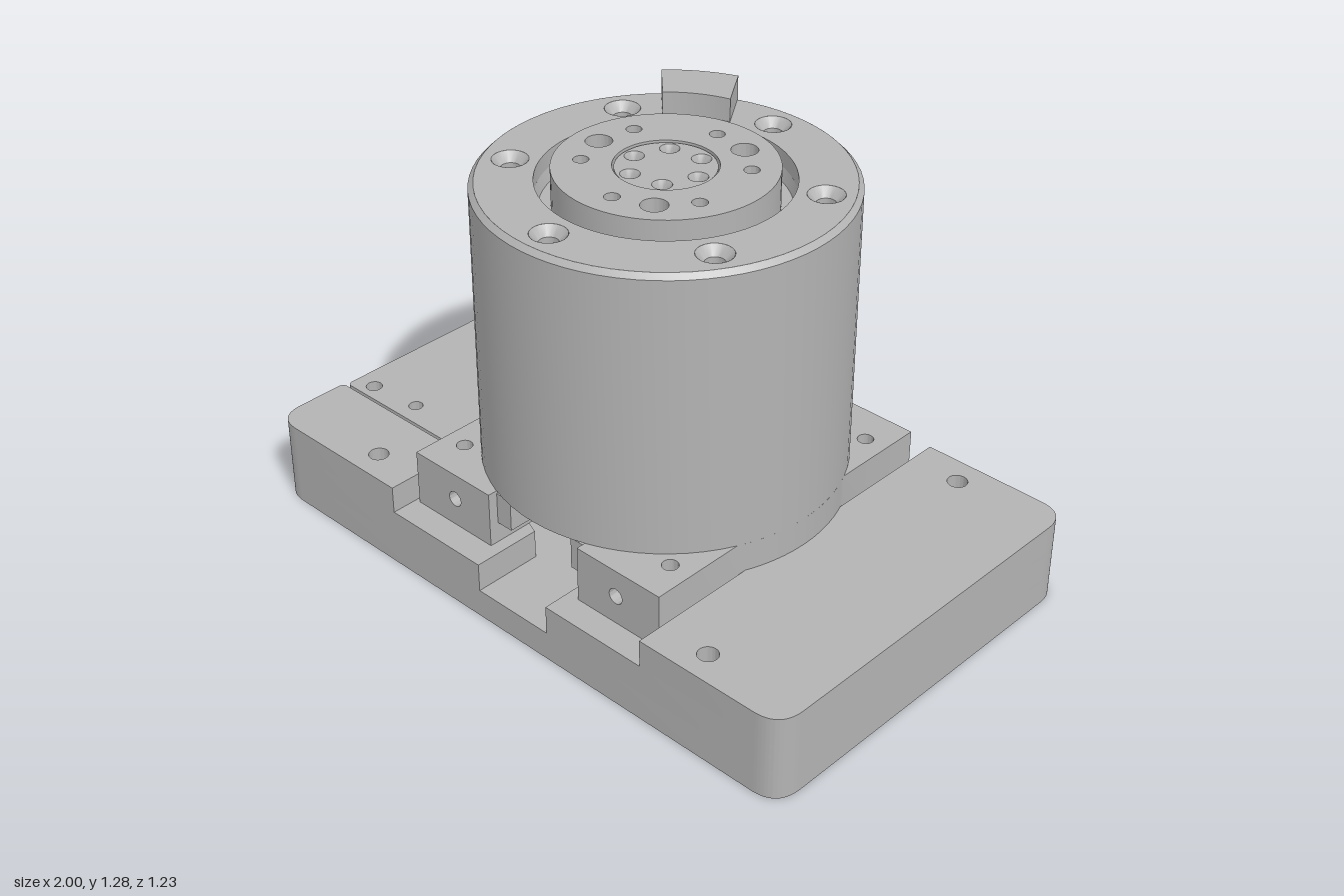
import * as THREE from 'three';
import { toCreasedNormals } from 'three/addons/utils/BufferGeometryUtils.js';

const CX = 0.025; // x of the round body's axis
const BASE_Z = 0.615;

export function createModel() {
  const model = new THREE.Group();
  model.name = 'rotaryUnit';
  const metal = new THREE.MeshStandardMaterial({ color: 0xb3b3b3 });
  metal.name = 'machined grey metal';
  metal.side = THREE.DoubleSide;

  const add = (name, geometry, x = 0, y = 0, z = 0) => {
    const mesh = new THREE.Mesh(toCreasedNormals(geometry, 0.6), metal);
    mesh.name = name;
    mesh.position.set(x, y, z);
    model.add(mesh);
    return mesh;
  };

  // Closed outline from [x, z, cornerRadius] points
  const outline = (points, Type = THREE.Shape) => {
    const path = new Type();
    points.forEach(([x, z, r = 0], i) => {
      const p = new THREE.Vector2(x, z);
      const toward = (q) => new THREE.Vector2(q[0], q[1]).sub(p).setLength(r).add(p);
      const a = r ? toward(points[(i + points.length - 1) % points.length]) : p;
      if (i === 0) path.moveTo(a.x, a.y);
      else path.lineTo(a.x, a.y);
      if (r) {
        const b = toward(points[(i + 1) % points.length]);
        path.quadraticCurveTo(x, z, b.x, b.y);
      }
    });
    path.closePath();
    return path;
  };
  const rect = (x0, x1, z0, z1, r = 0, Type) =>
    outline([[x0, z0, r], [x1, z0, r], [x1, z1, r], [x0, z1, r]], Type);
  const disc = (r, Type = THREE.Shape, x = 0, z = 0) => {
    const path = new Type();
    path.absarc(x, z, r, 0, Math.PI * 2, false);
    return path;
  };
  const drill = (shape, holes) => {
    holes.forEach(([x, z, r]) => shape.holes.push(disc(r, THREE.Path, x, z)));
    return shape;
  };
  const arc = (cx, r, a0, a1, n = 20) => Array.from({ length: n + 1 }, (_, i) => {
    const a = a0 + (a1 - a0) * i / n;
    return [cx + r * Math.cos(a), r * Math.sin(a)];
  });
  const extrude = (shape, depth) =>
    new THREE.ExtrudeGeometry(shape, { depth, bevelEnabled: false, curveSegments: 32 });
  // Plan shape (x, z) raised from y0 to y1
  const slab = (name, shape, y0, y1, x = 0) =>
    add(name, extrude(shape, y1 - y0).rotateX(Math.PI / 2), x, y1, 0);
  const lathe = (points, n = 64) =>
    new THREE.LatheGeometry(points.map(([r, y]) => new THREE.Vector2(r, y)), n);
  const polar = (r, degrees) => {
    const a = THREE.MathUtils.degToRad(degrees);
    return [r * Math.cos(a), r * Math.sin(a)];
  };
  const bothSigns = (xs, z, r) => xs.flatMap((x) => [[x, z, r], [x, -z, r]]);

  // Base floor with mounting holes, screw counterbores and underside pocket
  const pocket = () => rect(0.73, 0.93, -0.54, 0.54, 0.06, THREE.Path);
  const floor = drill(rect(-1, 1, -BASE_Z, BASE_Z, 0.09), [
    ...bothSigns([-0.63, 0.68], 0.53, 0.03),
    ...bothSigns([-0.38, 0.43], 0.4, 0.065),
    ...bothSigns([-0.925, -0.525], 0.3, 0.02),
  ]);
  floor.holes.push(pocket());
  slab('baseFloor', floor, 0, 0.09);

  // Middle layer, right half: round well wall and straight slot
  const wellR = 0.42;
  const wellA = Math.acos(0.135 / wellR);
  const rightMiddle = drill(outline([
    [0.16, BASE_Z], [1, BASE_Z, 0.09], [1, -BASE_Z, 0.09], [0.16, -BASE_Z],
    ...arc(CX, wellR, -wellA, wellA),
  ]), [...bothSigns([0.68], 0.53, 0.03), ...bothSigns([0.43], 0.4, 0.03)]);
  rightMiddle.holes.push(pocket());
  slab('baseMiddleRight', rightMiddle, 0.09, 0.18);
  slab('basePlateRight', drill(rect(0.515, 1, -BASE_Z, BASE_Z, 0), []), 0.18, 0.18).removeFromParent();
  slab('basePlateRight', drill(outline([
    [0.515, -BASE_Z], [1, -BASE_Z, 0.09], [1, BASE_Z, 0.09], [0.515, BASE_Z],
  ]), bothSigns([0.68], 0.53, 0.03)), 0.18, 0.265);

  // Middle layer, left half: two sides with cable tunnels around a centre post
  for (const s of [1, -1]) {
    slab('baseMiddleLeft', drill(outline([
      [-1, s * 0.25],
      ...arc(CX, wellR, s * (Math.PI - Math.asin(0.25 / wellR)), s * (Math.PI - Math.acos(0.135 / wellR)), 8),
      [-0.11, s * BASE_Z], [-1, s * BASE_Z, 0.09],
    ]), [[-0.63, s * 0.53, 0.03], [-0.38, s * 0.4, 0.03],
      [-0.925, s * 0.3, 0.02], [-0.525, s * 0.3, 0.02]]), 0.09, 0.18);
    slab('leftCornerPlate', drill(outline([
      [-1, s * 0.36, 0.02], [-0.47, s * 0.36], [-0.47, s * BASE_Z], [-1, s * BASE_Z, 0.09],
    ]), [[-0.63, s * 0.53, 0.03]]), 0.18, 0.265);
  }
  slab('tunnelPost', rect(-0.99, -0.4, -0.04, 0.04), 0.09, 0.18);
  slab('tunnelCover', drill(rect(-0.995, -0.47, -0.348, 0.348, 0.02), [
    ...bothSigns([-0.925, -0.525], 0.3, 0.025), ...bothSigns([-0.75], 0.283, 0.022),
  ]), 0.18, 0.262);

  // Mounting feet under the round body, with bolted end blocks
  const outerA = Math.acos(0.48 / 0.53);
  const innerA = Math.acos(0.175 / 0.36);
  for (const s of [1, -1]) {
    const flip = ([x, z]) => [s * x, z];
    slab('footBody', drill(outline([
      [0.175, 0.45], [0.48, 0.45], ...arc(0, 0.53, outerA, -outerA, 12),
      [0.48, -0.45], [0.175, -0.45], ...arc(0, 0.36, -innerA, innerA),
    ].map(flip)), bothSigns([s * 0.407], 0.41, 0.024)), 0.18, 0.355, CX);
    for (const t of [1, -1]) {
      const face = drill(rect(Math.min(s * 0.175, s * 0.48), Math.max(s * 0.175, s * 0.48), 0.18, 0.355),
        [[s * 0.32, 0.27, 0.024]]);
      add('footEndBlock', extrude(face, 0.08), CX, 0, t > 0 ? 0.45 : -0.53);
      add('footRail', new THREE.BoxGeometry(0.07, 0.1, 0.18), CX + s * 0.155, 0.295, t * 0.41);
    }
  }

  // Round housing with chamfered rim and a recess for the turning flange
  add('housing', lathe([
    [0, 0.335], [0.48, 0.335], [0.48, 0.355], [0.53, 0.355], [0.53, 1.2], [0.515, 1.215],
    [0.515, 1.165], [0.355, 1.165], [0.345, 1.13], [0, 1.13],
  ], 72), CX);

  // Countersunk socket lining a hole
  const socket = (name, [x, z], y, r, inner, depth) => add(name,
    lathe([[0, -depth], [inner, -depth], [inner, -depth * 0.55], [r, 0]], 20), CX + x, y, z);

  // Top rim with six bolt holes
  const rimBolts = Array.from({ length: 6 }, (_, i) => polar(0.435, 90 + 60 * i));
  const rim = drill(disc(0.515), rimBolts.map(([x, z]) => [x, z, 0.052]));
  rim.holes.push(disc(0.355, THREE.Path));
  slab('topRim', rim, 1.165, 1.215, CX);
  rimBolts.forEach((p) => socket('rimBoltSocket', p, 1.215, 0.052, 0.028, 0.048));

  // Turning flange: three large and six small holes round a central hub
  const flangeHoles = [0, 120, 240].flatMap((a) => [
    [...polar(0.23, a + 54), 0.038], [...polar(0.23, a + 24), 0.022], [...polar(0.23, a + 84), 0.022],
  ]);
  const flange = drill(disc(0.31), flangeHoles);
  flange.holes.push(disc(0.145, THREE.Path));
  slab('turningFlange', flange, 1.13, 1.25, CX);
  const hubBolts = Array.from({ length: 6 }, (_, i) => polar(0.105, -8 + 60 * i));
  slab('hub', drill(disc(0.14), hubBolts.map(([x, z]) => [x, z, 0.028])), 1.13, 1.245, CX);
  hubBolts.forEach((p) => socket('hubBoltSocket', p, 1.245, 0.028, 0.016, 0.04));

  // Stop tab on the rim
  const rad = THREE.MathUtils.degToRad;
  slab('stopTab', outline([
    ...arc(0, 0.525, rad(225), rad(249.5), 10), ...arc(0, 0.375, rad(255), rad(225), 8),
  ]), 1.2, 1.285, CX);

  return model;
}
